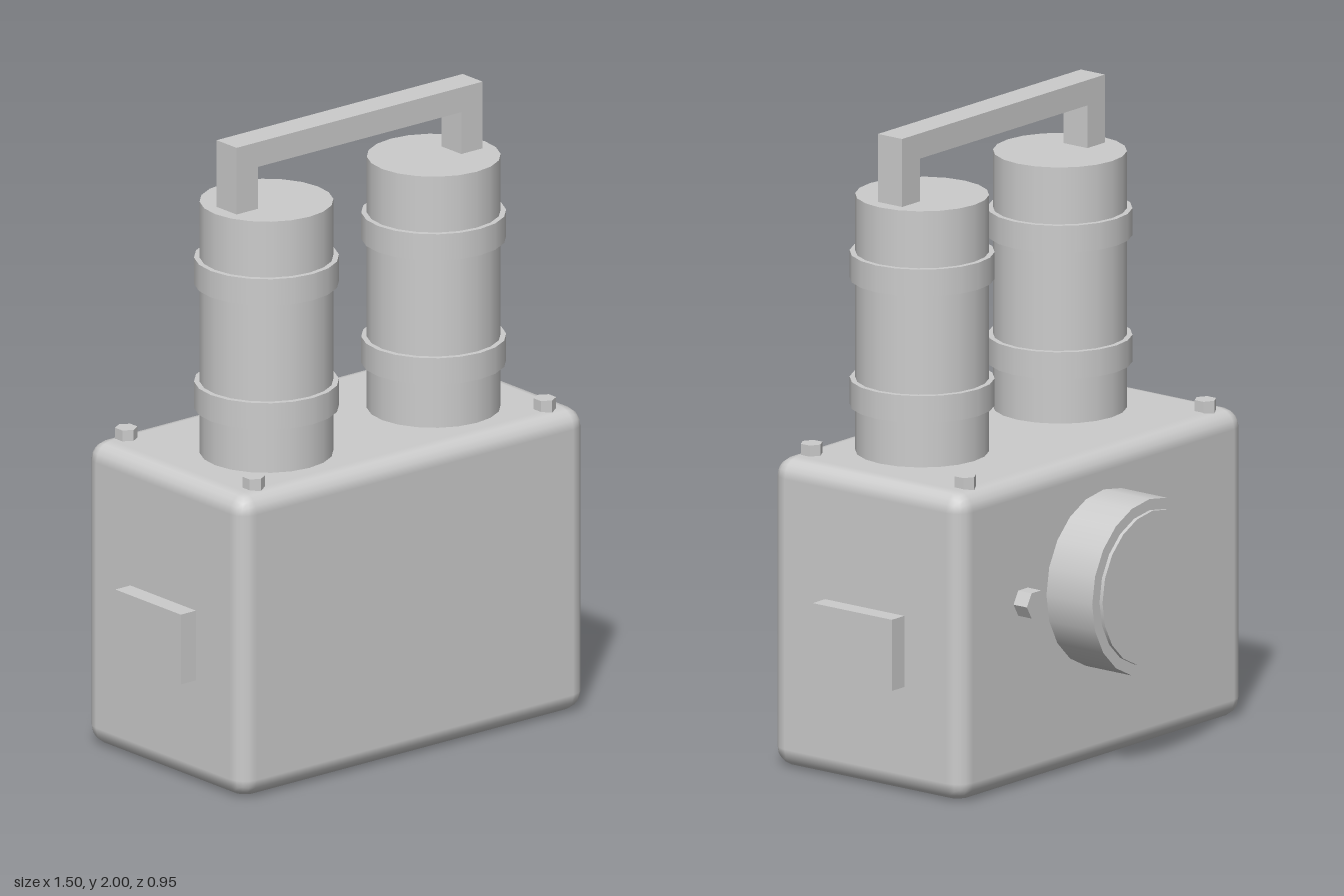
import * as THREE from 'three';
import { RoundedBoxGeometry } from 'three/addons/geometries/RoundedBoxGeometry.js';

export function createModel() {
  const group = new THREE.Group();
  const grey = new THREE.MeshStandardMaterial({ color: 0xcccccc });
  grey.name = 'light grey';

  const add = (name, geometry, x, y, z) => {
    const mesh = new THREE.Mesh(geometry, grey);
    mesh.name = name;
    mesh.position.set(x, y, z);
    group.add(mesh);
    return mesh;
  };
  const box = (name, w, h, d, x, y, z) => add(name, new THREE.BoxGeometry(w, h, d), x, y, z);
  // Upright cylinder between two heights
  const upright = (name, r, y0, y1, x, z, sides = 20) =>
    add(name, new THREE.CylinderGeometry(r, r, y1 - y0, sides), x, (y0 + y1) / 2, z);
  // Cylinder lying along z
  const lying = (name, r, z0, z1, x, y, sides = 20) => {
    const g = new THREE.CylinderGeometry(r, r, z1 - z0, sides);
    if (sides === 6) g.rotateY(Math.PI / 6);
    return add(name, g.rotateX(Math.PI / 2), x, y, (z0 + z1) / 2);
  };

  // Rounded housing
  add('housing', new RoundedBoxGeometry(1.38, 0.975, 0.755, 2, 0.06), 0, 0.4875, 0.095);

  const tankZ = 0.162;
  for (const s of [-1, 1]) {
    // Tanks with two straps each
    upright('tank', 0.205, 0.95, 1.785, s * 0.333, tankZ);
    upright('lowerStrap', 0.222, 1.12, 1.205, s * 0.333, tankZ);
    upright('upperStrap', 0.222, 1.52, 1.605, s * 0.333, tankZ);

    // Handle posts and side plates
    box('handlePost', 0.085, 0.15, 0.095, s * 0.4475, 1.85, tankZ - 0.002);
    box('sidePlate', 0.1, 0.225, 0.312, s * 0.7, 0.45, 0.097);

    // Bolts on the lid corners
    for (const z of [-0.21, 0.396]) {
      const bolt = upright('lidBolt', 0.035, 0.95, 1.01, s * 0.58, z, 6);
      bolt.geometry = bolt.geometry.toNonIndexed();
      bolt.geometry.computeVertexNormals();
    }
  }
  box('handleBar', 0.98, 0.08, 0.095, 0, 1.96, tankZ - 0.002);

  // Round port on the back with a raised cover
  lying('backPort', 0.277, -0.463, -0.25, 0, 0.58);
  lying('portCover', 0.242, -0.475, -0.44, 0, 0.58);

  // Hexagonal knob beside the port
  const knob = lying('backKnob', 0.046, -0.335, -0.25, 0.39, 0.583, 6);
  knob.geometry = knob.geometry.toNonIndexed();
  knob.geometry.computeVertexNormals();

  return group;
}
